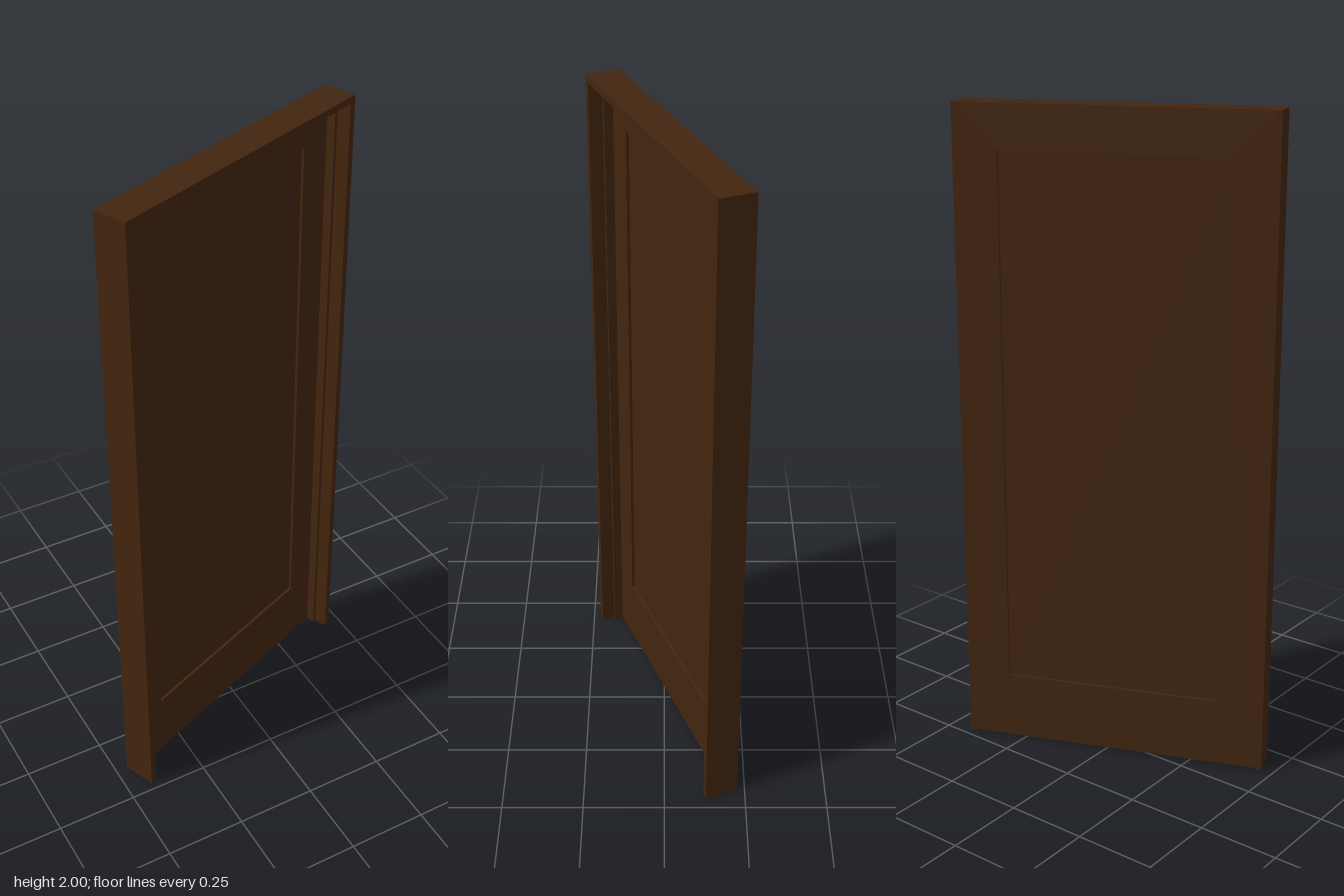
import * as THREE from 'three';

const WIDTH = 0.954, HEIGHT = 2, DEPTH = 0.106; // overall frame
const JAMB = 0.021, STOP = 0.011;               // board and stop thickness
const LEAF = 0.035, RECESS = 0.009;             // door leaf and panel recess
const TURN = 0.382;                             // the doorway stands at an angle

export function createModel() {
  const wood = new THREE.MeshStandardMaterial({ color: 0x42250f });
  wood.name = 'dark brown wood';
  const model = new THREE.Group();
  model.name = 'door';
  const doorway = new THREE.Group();
  doorway.name = 'doorway';
  doorway.rotation.y = TURN;
  model.add(doorway);

  const add = (name, geometry, x, y, z) => {
    const mesh = new THREE.Mesh(geometry, wood);
    mesh.name = name;
    mesh.position.set(x, y, z);
    doorway.add(mesh);
  };
  const box = (name, w, h, d, x, y, z) => add(name, new THREE.BoxGeometry(w, h, d), x, y, z);

  const inner = WIDTH / 2 - JAMB;
  const top = HEIGHT - JAMB;
  const back = -DEPTH / 2;
  const stopDepth = 0.028;
  const stopZ = back + LEAF + stopDepth / 2;

  // Frame: two jambs and a head, each with a stop in front of the leaf
  for (const [side, s] of [['left', 1], ['right', -1]]) {
    box(side + 'Jamb', JAMB, HEIGHT, DEPTH, s * (inner + JAMB / 2), HEIGHT / 2, 0);
    box(side + 'Stop', STOP, top, stopDepth, s * (inner - STOP / 2), top / 2, stopZ);
  }
  box('head', inner * 2, JAMB, DEPTH, 0, HEIGHT - JAMB / 2, 0);
  box('headStop', (inner - STOP) * 2, STOP, stopDepth, 0, top - STOP / 2, stopZ);

  // Leaf: stiles and rails in one piece around the panel opening, flush with the back
  const rect = (Type, x, y0, y1) => new Type([
    new THREE.Vector2(-x, y0), new THREE.Vector2(x, y0),
    new THREE.Vector2(x, y1), new THREE.Vector2(-x, y1),
  ]);
  const px = 0.341, py0 = 0.215, py1 = 1.867;
  const leaf = rect(THREE.Shape, inner, 0.005, top);
  leaf.holes.push(rect(THREE.Path, px, py0, py1));
  add('stilesAndRails', new THREE.ExtrudeGeometry(leaf, { depth: LEAF, bevelEnabled: false }), 0, 0, back);

  // Panel recessed on both faces
  box('panel', px * 2, py1 - py0, LEAF - 2 * RECESS, 0, (py0 + py1) / 2, back + LEAF / 2);

  return model;
}
